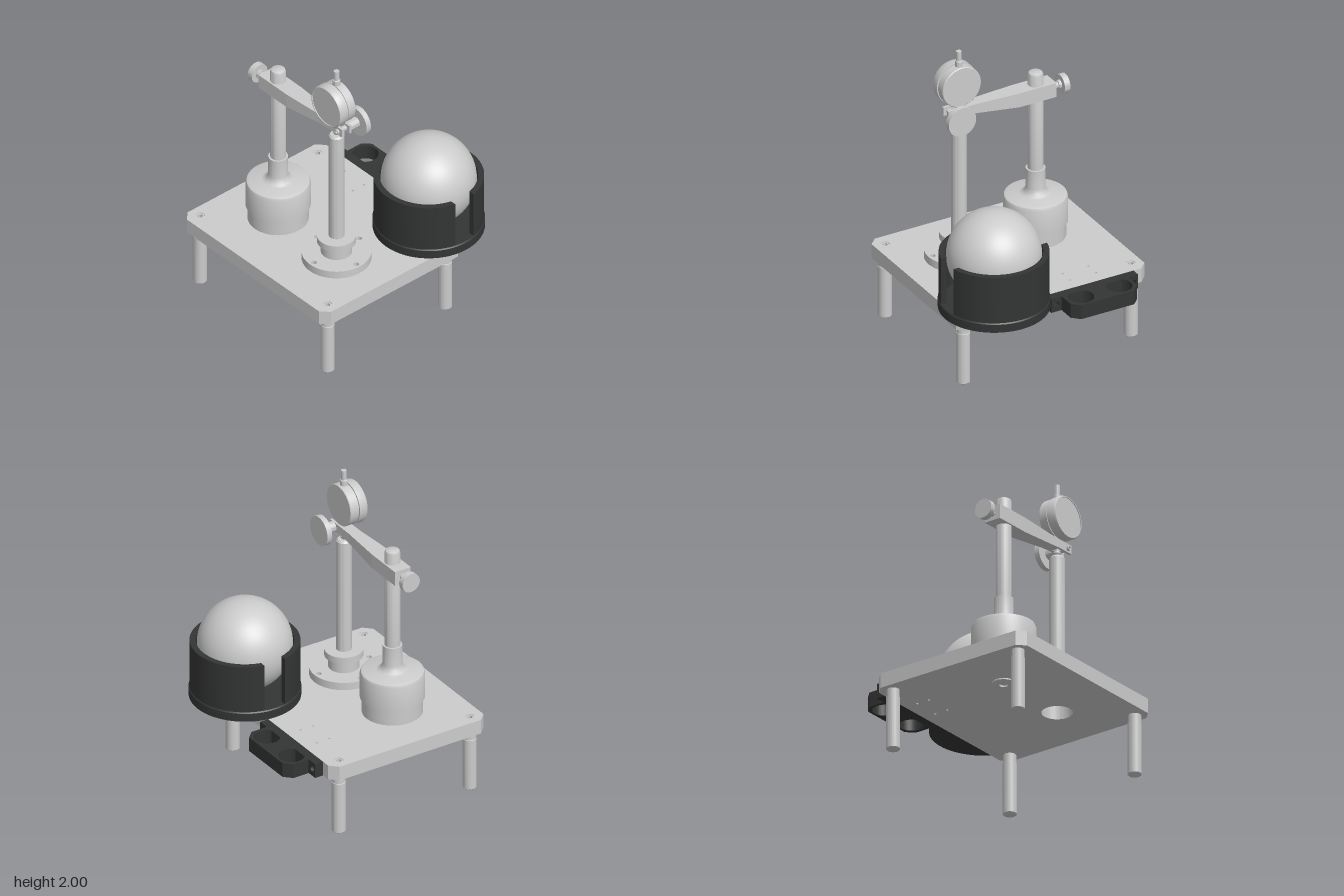
import * as THREE from 'three';
import { toCreasedNormals } from 'three/addons/utils/BufferGeometryUtils.js';

const grey = new THREE.MeshStandardMaterial({ color: 0xcccccc });
const dark = new THREE.MeshStandardMaterial({ color: 0x333534 });

export function createModel() {
  const model = new THREE.Group();

  function add(name, geo, mat = grey, parent = model) {
    const mesh = new THREE.Mesh(geo, mat);
    mesh.name = name;
    parent.add(mesh);
    return mesh;
  }
  // Turned part about the y axis; profile is [radius, height] from bottom to top
  function turned(profile, segments = 48) {
    const points = profile.map(([r, h]) => new THREE.Vector2(r, h));
    return toCreasedNormals(new THREE.LatheGeometry(points, segments), 0.6);
  }
  const rod = (r, a, b, segments = 32) => turned([[0, a], [r, a], [r, b], [0, b]], segments);
  const outline = (pts) => new THREE.Shape(pts.map(([x, y]) => new THREE.Vector2(x, y)));
  function drill(shape, x, y, r) {
    shape.holes.push(new THREE.Path().absarc(x, y, r, 0, Math.PI * 2, true));
  }
  // Plan outline (x, z) raised from y0 to y1
  function slab(shape, y0, y1) {
    const geo = new THREE.ExtrudeGeometry(shape, { depth: y1 - y0, bevelEnabled: false, curveSegments: 40 });
    return toCreasedNormals(geo.rotateX(Math.PI / 2).translate(0, y1, 0), 0.5);
  }

  const legs = [[-0.655, -0.345], [0.57, -0.345], [-0.655, 0.645], [0.57, 0.645]];
  const postX = 0.24, columnX = -0.32, axisZ = 0.28;

  // Base plate with cut corners and drilled holes
  const c = 0.053, x0 = -0.73, x1 = 0.645, z0 = -0.44, z1 = 0.735;
  const plate = outline([[x0 + c, z0], [x1 - c, z0], [x1, z0 + c], [x1, z1 - c],
    [x1 - c, z1], [x0 + c, z1], [x0, z1 - c], [x0, z0 + c]]);
  legs.forEach(([x, z]) => drill(plate, x, z, 0.029));
  for (const x of [-0.4, -0.21]) for (const z of [-0.345, -0.25]) drill(plate, x, z, 0.008);
  drill(plate, postX, axisZ, 0.1);
  add('basePlate', slab(plate, 0.415, 0.515));

  // Legs with a socket screw in the plate above each
  legs.forEach(([x, z]) => {
    add('leg', turned([[0, 0], [0.04, 0], [0.045, 0.005], [0.045, 0.36], [0.042, 0.362], [0.042, 0.415], [0, 0.415]]))
      .position.set(x, 0, z);
    add('legScrew', turned([[0, 0.415], [0.028, 0.415], [0.028, 0.511], [0.017, 0.511], [0.017, 0.48], [0, 0.48]]))
      .position.set(x, 0, z);
  });

  // Rear holder: mounting strip with screw holes, and shelf with two round openings
  const holder = new THREE.Group();
  holder.name = 'rearHolder';
  model.add(holder);
  const strip = outline([[-0.62, 0.415], [0.015, 0.415], [0.015, 0.515], [-0.62, 0.515]]);
  for (const x of [-0.585, -0.025]) drill(strip, x, 0.465, 0.02);
  const stripGeo = new THREE.ExtrudeGeometry(strip, { depth: 0.06, bevelEnabled: false, curveSegments: 24 });
  add('holderStrip', toCreasedNormals(stripGeo.translate(0, 0, -0.5), 0.5), dark, holder);
  const shelf = outline([[-0.545, -0.5], [-0.545, -0.615], [-0.495, -0.665], [-0.11, -0.665],
    [-0.06, -0.615], [-0.06, -0.5]]);
  for (const x of [-0.445, -0.165]) drill(shelf, x, -0.565, 0.083);
  add('holderShelf', slab(shelf, 0.415, 0.515), dark, holder);

  // Cup: floor and two wall halves separated by straight slots
  const cup = new THREE.Group();
  cup.name = 'cup';
  cup.position.set(0.367, 0, -0.385);
  model.add(cup);
  add('cupFloor', turned([[0, 0.515], [0.357, 0.515], [0.357, 0.572], [0.351, 0.58], [0, 0.58]], 72), dark, cup);
  const outerR = 0.351, innerR = 0.312, slot = 0.077;
  const oa = Math.asin(slot / outerR), ia = Math.asin(slot / innerR);
  for (const turn of [0, Math.PI]) {
    const wall = new THREE.Shape();
    wall.absarc(0, 0, outerR, oa, Math.PI - oa, false);
    wall.absarc(0, 0, innerR, Math.PI - ia, ia, true);
    add('cupWall', slab(wall, 0.58, 0.91), dark, cup).rotation.y = turn;
  }
  add('ball', new THREE.SphereGeometry(0.305, 64, 40), grey, cup).position.y = 0.885;

  // Column on a stepped base, with a washer under the plate
  const column = [[0, 0.515], [0.195, 0.515], [0.195, 0.62], [0.207, 0.622], [0.207, 0.79], [0.2, 0.808],
    [0.183, 0.816], [0.105, 0.818], [0.085, 0.825], [0.07, 0.842], [0.063, 0.868], [0.063, 1.0],
    [0.05, 1.0], [0.05, 1.675], [0.045, 1.689], [0.035, 1.695], [0, 1.695]];
  add('column', turned(column, 64)).position.set(columnX, 0, axisZ);
  add('columnWasher', turned([[0, 0.41], [0.028, 0.41], [0.028, 0.398], [0.06, 0.398], [0.075, 0.406], [0.075, 0.416], [0, 0.416]]))
    .position.set(columnX, 0, axisZ);

  // Post on a drilled flange
  const flange = new THREE.Shape().absarc(postX, axisZ, 0.222, 0, Math.PI * 2, false);
  for (let i = 0; i < 4; i++) {
    const a = i * Math.PI / 2;
    drill(flange, postX + 0.19 * Math.cos(a), axisZ + 0.19 * Math.sin(a), 0.018);
  }
  add('postFlange', slab(flange, 0.515, 0.568));
  add('post', turned([[0, 0.516], [0.1, 0.516], [0.1, 0.65], [0.125, 0.65], [0.125, 0.695], [0.05, 0.695],
    [0.05, 1.487], [0.04, 1.5], [0, 1.5]])).position.set(postX, 0, axisZ);

  // Arm: a box tapered along its length, ending in a fork
  const stations = [[-0.44, 1.505, 0.06], [-0.17, 1.505, 0.06], [0.12, 1.537, 0.041], [0.215, 1.545, 0.04]];
  const armGeo = new THREE.BoxGeometry(3, 1, 2, 3, 1, 1);
  const p = armGeo.attributes.position;
  for (let i = 0; i < p.count; i++) {
    const [x, low, half] = stations[Math.round(p.getX(i) + 1.5)];
    p.setXYZ(i, x, p.getY(i) > 0 ? 1.605 : low, axisZ + p.getZ(i) * half);
  }
  add('arm', toCreasedNormals(armGeo, 0.05));
  for (const side of [-1, 1]) {
    add('armFork', new THREE.BoxGeometry(0.13, 0.06, 0.018)).position.set(0.275, 1.575, axisZ + side * 0.031);
  }
  const bolt = add('forkBolt', turned([[0, -0.05], [0.017, -0.05], [0.017, 0.055], [0.009, 0.055], [0.009, 0.045], [0, 0.045]], 24));
  bolt.rotation.x = Math.PI / 2;
  bolt.position.set(0.3, 1.572, axisZ);

  // Thumbscrew at the arm's outer end
  const screw = add('armThumbscrew', turned([[0, 0], [0.022, 0], [0.022, 0.04], [0.03, 0.04], [0.03, 0.06],
    [0.065, 0.06], [0.065, 0.1], [0, 0.1]]));
  screw.rotation.z = Math.PI / 2;
  screw.position.set(-0.438, 1.553, axisZ);

  // Clamp knob behind the fork
  const knob = add('clampKnob', turned([[0, 0], [0.035, 0], [0.035, 0.076], [0.1, 0.076], [0.1, 0.112], [0, 0.112]]));
  knob.rotation.x = -Math.PI / 2;
  knob.position.set(0.3, 1.572, 0.242);

  // Dial gauge with its stem and probe
  const dial = add('dialGauge', turned([[0, 0], [0.136, 0], [0.14, 0.004], [0.14, 0.06], [0.134, 0.06], [0.134, 0.068],
    [0.144, 0.068], [0.144, 0.118], [0.137, 0.13], [0.131, 0.13], [0.131, 0.124], [0, 0.124]], 64));
  dial.rotation.x = Math.PI / 2;
  dial.position.set(postX, 1.755, 0.24);
  add('dialTopStem', turned([[0, 1.88], [0.024, 1.88], [0.024, 1.93], [0.018, 1.934], [0.018, 2], [0, 2]], 32))
    .position.set(postX, 0, axisZ);
  add('dialLowerStem', rod(0.022, 1.535, 1.64)).position.set(postX, 0, axisZ);
  add('probeTip', turned([[0, 1.498], [0.012, 1.498], [0.022, 1.512], [0.026, 1.522], [0.018, 1.538], [0, 1.54]], 32))
    .position.set(postX, 0, axisZ);

  return model;
}
